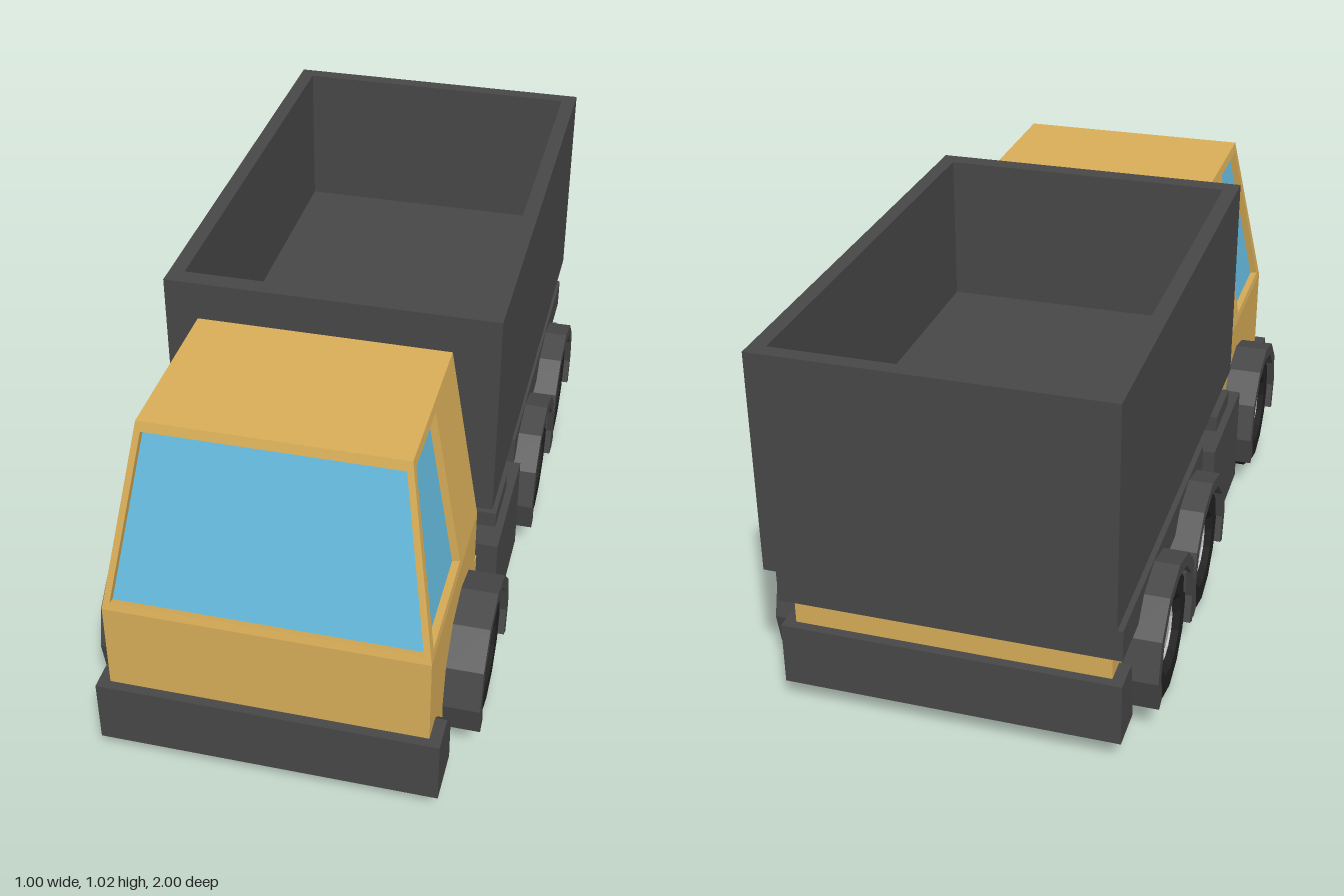
import * as THREE from 'three';

const mat = (color) => new THREE.MeshStandardMaterial({ color, flatShading: true });

export function createModel() {
  const truck = new THREE.Group();
  truck.name = 'dumpTruck';
  const yellow = mat(0xd9ae58), dark = mat(0x484848), rubber = mat(0x222222);
  const metal = mat(0xb8b8b8), glass = mat(0x66bce0);

  const add = (name, geometry, material, parent = truck) => {
    const mesh = new THREE.Mesh(geometry, material);
    mesh.name = name;
    parent.add(mesh);
    return mesh;
  };
  // Box given by its limits on each axis
  const box = (name, material, [x0, x1], [y0, y1], [z0, z1]) => {
    const m = add(name, new THREE.BoxGeometry(x1 - x0, y1 - y0, z1 - z0), material);
    m.position.set((x0 + x1) / 2, (y0 + y1) / 2, (z0 + z1) / 2);
    return m;
  };
  // Same box on both sides
  const boxPair = (name, material, [x0, x1], y, z) => {
    box(name + 'Left', material, [x0, x1], y, z);
    box(name + 'Right', material, [-x1, -x0], y, z);
  };
  // Profile of [z, y] points extruded along x, centred on x = 0
  const acrossX = (points, width) => {
    const shape = new THREE.Shape(points.map(([z, y]) => new THREE.Vector2(z, y)));
    return new THREE.ExtrudeGeometry(shape, { depth: width, bevelEnabled: false })
      .rotateY(-Math.PI / 2).translate(width / 2, 0, 0);
  };

  // Chassis
  box('chassis', yellow, [-0.405, 0.405], [0.09, 0.31], [-0.915, 0.41]);

  // Cab: straight lower part, tapered upper part with recessed windows
  box('cabLower', yellow, [-0.405, 0.405], [0.09, 0.475], [0.4, 0.975]);
  const taper = (y) => (y - 0.475) / 0.485;
  const sideX = (y) => 0.405 - 0.08 * taper(y);
  const frontZ = (y) => 0.975 - 0.125 * taper(y);
  const V = (x, y, z) => new THREE.Vector3(x, y, z);
  const quadGeometry = (quads) => {
    const points = quads.flatMap(([a, b, c, d]) => [a, b, c, a, c, d]);
    const g = new THREE.BufferGeometry().setFromPoints(points);
    g.computeVertexNormals();
    return g;
  };
  const bodyQuads = [];
  const windowPanel = (name, outer, hole) => {
    const normal = V().crossVectors(outer[1].clone().sub(outer[0]), outer[3].clone().sub(outer[0])).normalize();
    const pane = hole.map((p) => p.clone().addScaledVector(normal, -0.02));
    for (let i = 0; i < 4; i++) {
      const j = (i + 1) % 4;
      bodyQuads.push([outer[i], outer[j], hole[j], hole[i]], [hole[i], hole[j], pane[j], pane[i]]);
    }
    add(name, quadGeometry([pane]), glass);
  };
  const lo = 0.475, hi = 0.96, wLo = 0.495, wHi = 0.935;
  const A = V(-sideX(lo), lo, frontZ(lo)), B = V(sideX(lo), lo, frontZ(lo));
  const C = V(sideX(hi), hi, frontZ(hi)), D = V(-sideX(hi), hi, frontZ(hi));
  windowPanel('windscreen', [A, B, C, D], [
    V(-0.385, wLo, frontZ(wLo)), V(0.385, wLo, frontZ(wLo)),
    V(0.313, wHi, frontZ(wHi)), V(-0.313, wHi, frontZ(wHi))]);
  const back = 0.4;
  const leftOuter = [B, V(B.x, lo, back), V(C.x, hi, back), C];
  const leftHole = [V(sideX(wLo), wLo, 0.94), V(sideX(wLo), wLo, 0.62),
    V(sideX(wHi), wHi, 0.62), V(sideX(wHi), wHi, 0.835)];
  const mirror = (pts) => pts.map((p) => V(-p.x, p.y, p.z)).reverse();
  windowPanel('sideWindowLeft', leftOuter, leftHole);
  windowPanel('sideWindowRight', mirror(leftOuter), mirror(leftHole));
  bodyQuads.push(
    [D, C, V(C.x, hi, back), V(D.x, hi, back)],
    [V(B.x, lo, back), V(A.x, lo, back), V(D.x, hi, back), V(C.x, hi, back)]);
  add('cabUpper', quadGeometry(bodyQuads), yellow);

  // Bumpers wrap around the ends of the body
  box('frontBumper', dark, [-0.435, 0.435], [0.06, 0.235], [0.965, 1]);
  box('rearBumper', dark, [-0.435, 0.435], [0.065, 0.235], [-0.94, -0.905]);
  const frontEnd = [[0.97, 0.06], [0.97, 0.235], [0.905, 0.235], [0.875, 0.21], [0.857, 0.16], [0.857, 0.06]];
  const rearEnd = [[-0.91, 0.065], [-0.91, 0.235], [-0.85, 0.235], [-0.835, 0.18], [-0.825, 0.16], [-0.825, 0.065]];
  for (const s of [1, -1]) {
    add('frontBumperEnd', acrossX(frontEnd, 0.035), dark).position.x = s * 0.4175;
    add('rearBumperEnd', acrossX(rearEnd, 0.035), dark).position.x = s * 0.4175;
  }

  // Side tanks with a raised step
  boxPair('tank', dark, [0.29, 0.46], [0.065, 0.35], [0, 0.375]);
  boxPair('tankStep', dark, [0.31, 0.44], [0.35, 0.395], [0.12, 0.295]);

  // Rear deck and the hinge block carrying the bed
  box('rearDeck', dark, [-0.435, 0.435], [0.31, 0.395], [-0.94, -0.045]);
  box('bedHinge', dark, [-0.4, 0.4], [0.395, 0.44], [-0.91, -0.8]);

  // Open bed
  const rect = (Type, x, z0, z1) => new Type([[-x, -z0], [x, -z0], [x, -z1], [-x, -z1]]
    .map(([a, b]) => new THREE.Vector2(a, b)));
  const rim = rect(THREE.Shape, 0.435, 0.335, -1);
  rim.holes.push(rect(THREE.Path, 0.395, 0.285, -0.96));
  add('bedWalls', new THREE.ExtrudeGeometry(rim, { depth: 0.58, bevelEnabled: false })
    .rotateX(-Math.PI / 2), dark).position.y = 0.44;
  box('bedFloor', dark, [-0.395, 0.395], [0.44, 0.61], [-0.96, 0.285]);

  // Wheels: lathe profiles as [radius, offset along axle]
  const lathe = (pts) => new THREE.LatheGeometry(pts.map(([r, a]) => new THREE.Vector2(r, a)), 12);
  const tyreGeo = lathe([[0, -0.085], [0.165, -0.085], [0.18, -0.07], [0.18, 0.065],
    [0.16, 0.085], [0.105, 0.085], [0.085, 0.065], [0.08, 0.03]]);
  const rimGeo = lathe([[0.085, 0.06], [0.076, 0.07], [0.06, 0.035], [0.048, 0.04],
    [0.042, 0.07], [0, 0.072]].reverse().map(([r, a]) => [r, a]).reverse());
  rimGeo.scale(1, 1, 1);

  // Fender arch around the wheel centre
  const angles = [-25, 0, 30, 60, 90, 120, 150, 180, 205].map((d) => d * Math.PI / 180);
  const arc = (r) => angles.map((t) => [r * Math.cos(t), r * Math.sin(t)]);
  const fenderGeo = acrossX([...arc(0.21), ...arc(0.176).reverse()], 0.1);

  [['front', 0.6], ['middle', -0.23], ['rear', -0.63]].forEach(([axle, z]) => {
    for (const s of [1, -1]) {
      const side = s > 0 ? 'Left' : 'Right';
      const wheel = new THREE.Group();
      wheel.name = axle + 'Wheel' + side;
      add('tyre', tyreGeo, rubber, wheel);
      add('rim', rimGeo, metal, wheel);
      wheel.rotation.z = -s * Math.PI / 2;
      wheel.position.set(s * 0.4, 0.18, z);
      truck.add(wheel);
      add(axle + 'Fender' + side, fenderGeo, dark).position.set(s * 0.45, 0.18, z);
    }
  });
  boxPair('fenderBridge', dark, [0.4, 0.49], [0.22, 0.28], [-0.5, -0.36]);

  return truck;
}
